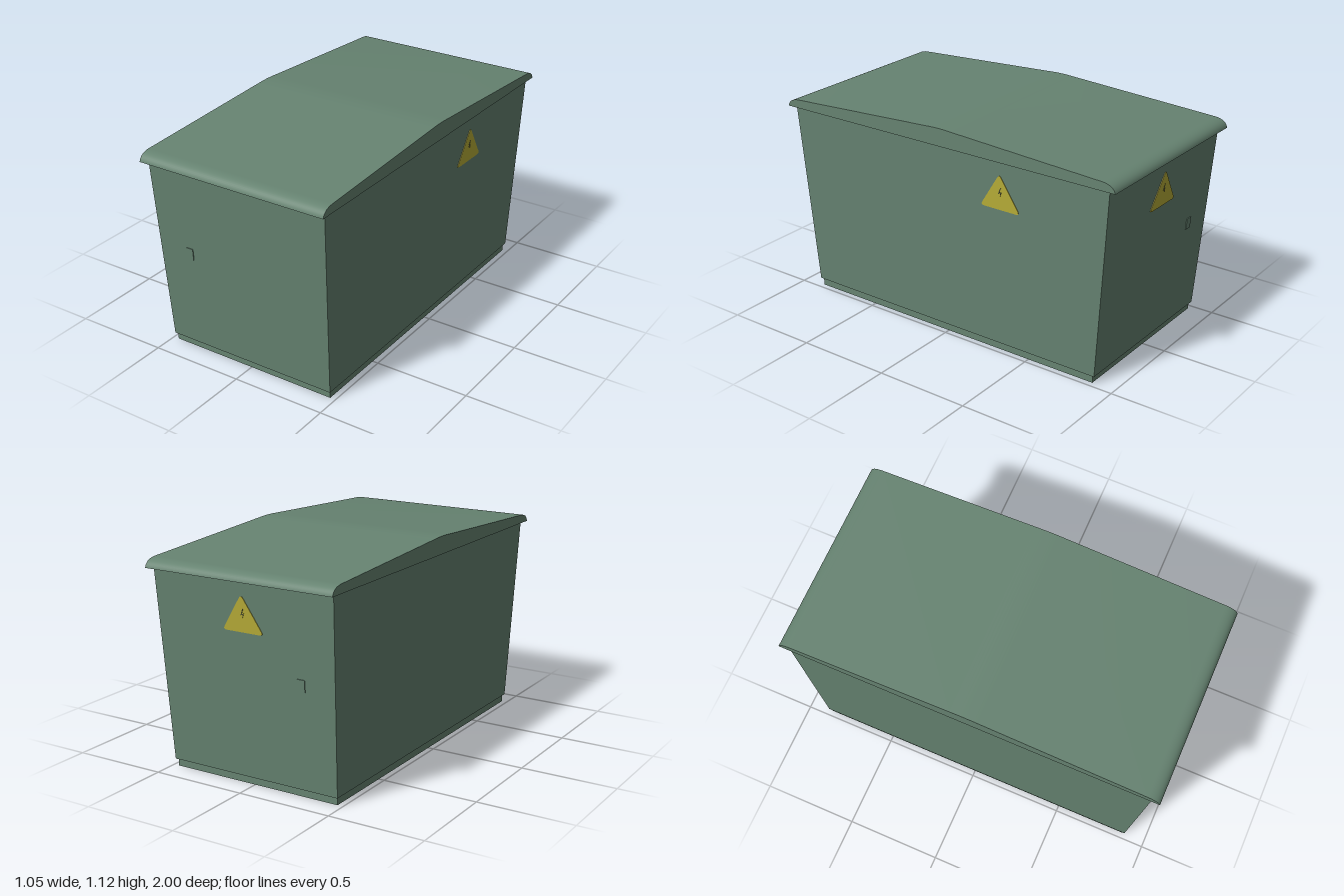
import * as THREE from 'three';
import { toCreasedNormals } from 'three/addons/utils/BufferGeometryUtils.js';

const BASE_Y = 0.04, TOP_Y = 1.04;
const SLOPE_X = 0.03, SLOPE_Z = 0.073;
const halfX = y => 0.478 + SLOPE_X * (y - BASE_Y);
const halfZ = y => 0.888 + SLOPE_Z * (y - BASE_Y);

// Joins rectangular rings [halfX, y, halfZ] into a flat-faced shell
function loftRectangles(rings) {
  const corners = [[1, 1], [1, -1], [-1, -1], [-1, 1]];
  const pos = [];
  for (let r = 0; r < rings.length - 1; r++) {
    for (let i = 0; i < 4; i++) {
      const at = (ring, c) => [ring[0] * c[0], ring[1], ring[2] * c[1]];
      const a = at(rings[r], corners[i]), b = at(rings[r], corners[(i + 1) % 4]);
      const d = at(rings[r + 1], corners[i]), c = at(rings[r + 1], corners[(i + 1) % 4]);
      pos.push(...a, ...b, ...c, ...a, ...c, ...d);
    }
  }
  const g = new THREE.BufferGeometry();
  g.setAttribute('position', new THREE.Float32BufferAttribute(pos, 3));
  g.computeVertexNormals();
  return g;
}

// Triangle with rounded corners
function roundedTriangle(w, h, cut) {
  const p = [[-w / 2, 0], [w / 2, 0], [0, h]].map(q => new THREE.Vector2(...q));
  const s = new THREE.Shape();
  p.forEach((v, i) => {
    const prev = p[(i + 2) % 3], next = p[(i + 1) % 3];
    const from = v.clone().lerp(prev, cut), to = v.clone().lerp(next, cut);
    if (i === 0) s.moveTo(from.x, from.y); else s.lineTo(from.x, from.y);
    s.quadraticCurveTo(v.x, v.y, to.x, to.y);
  });
  s.closePath();
  return s;
}

export function createModel() {
  const green = new THREE.MeshStandardMaterial({ color: 0x668371, side: THREE.DoubleSide });
  green.name = 'grey green';
  const yellow = new THREE.MeshStandardMaterial({ color: 0xb8ae38 });
  yellow.name = 'warning yellow';
  const dark = new THREE.MeshStandardMaterial({ color: 0x4a4c2c });
  dark.name = 'dark olive';

  const model = new THREE.Group();
  model.name = 'cabinet';
  const add = (name, geo, mat, parent = model) => {
    const m = new THREE.Mesh(geo, mat);
    m.name = name;
    parent.add(m);
    return m;
  };

  // Tapered walls, open at the bottom, with a recessed plinth
  add('body', loftRectangles([
    [halfX(TOP_Y) - 0.012, TOP_Y, halfZ(TOP_Y) - 0.012],
    [0.462, 0, 0.866],
    [0.47, 0, 0.875],
    [0.47, BASE_Y, 0.875],
    [halfX(BASE_Y), BASE_Y, halfZ(BASE_Y)],
    [halfX(TOP_Y), TOP_Y, halfZ(TOP_Y)],
  ]), green);

  // Lid: shallow ridge with rounded front and back edges
  const lid = new THREE.Shape();
  lid.moveTo(-1, 1.032);
  lid.lineTo(1, 1.032);
  lid.bezierCurveTo(0.995, 1.055, 0.975, 1.074, 0.93, 1.077);
  lid.lineTo(0.08, 1.121);
  lid.quadraticCurveTo(0, 1.127, -0.08, 1.121);
  lid.lineTo(-0.93, 1.077);
  lid.bezierCurveTo(-0.975, 1.074, -0.995, 1.055, -1, 1.032);
  const lidGeo = new THREE.ExtrudeGeometry(lid, { depth: 1.054, bevelEnabled: false, curveSegments: 10 });
  lidGeo.translate(0, 0, -0.527).rotateY(Math.PI / 2);
  add('lid', toCreasedNormals(lidGeo, 0.5), green);

  // A holder lying on a leaning wall, its local z pointing outwards
  function onWall(name, x, y, z, turn, slope) {
    const g = new THREE.Group();
    g.name = name;
    g.position.set(x, y, z);
    g.rotation.set(Math.atan(slope), turn, 0, 'YXZ');
    model.add(g);
    return g;
  }

  // Warning signs on the left side and the back
  const signGeo = new THREE.ExtrudeGeometry(roundedTriangle(0.232, 0.185, 0.1),
    { depth: 0.003, bevelEnabled: false, curveSegments: 5 });
  const bolt = new THREE.Shape([[0.004, 0.115], [-0.008, 0.083], [0.004, 0.087], [0.002, 0.066],
    [0.012, 0.094], [0.001, 0.091], [0.009, 0.115]].map(q => new THREE.Vector2(...q)));
  const boltGeo = new THREE.ExtrudeGeometry(bolt, { depth: 0.001, bevelEnabled: false });
  const signY = 0.78;
  for (const holder of [
    onWall('sideSign', halfX(signY), signY, -0.35, Math.PI / 2, SLOPE_X),
    onWall('backSign', 0, signY, -halfZ(signY), Math.PI, SLOPE_Z),
  ]) {
    add('signPlate', signGeo, yellow, holder);
    add('signBolt', boltGeo, dark, holder).position.z = 0.003;
  }

  // Small latches set through the front and back walls
  const latchGeo = new THREE.BoxGeometry(0.04, 0.06, 0.035);
  const latchY = 0.57;
  for (const s of [1, -1]) {
    const holder = onWall(s > 0 ? 'frontLatch' : 'backLatch', -0.31, latchY, s * halfZ(latchY),
      s > 0 ? 0 : Math.PI, SLOPE_Z);
    add('latchBlock', latchGeo, green, holder).position.z = -0.0135;
  }

  return model;
}
